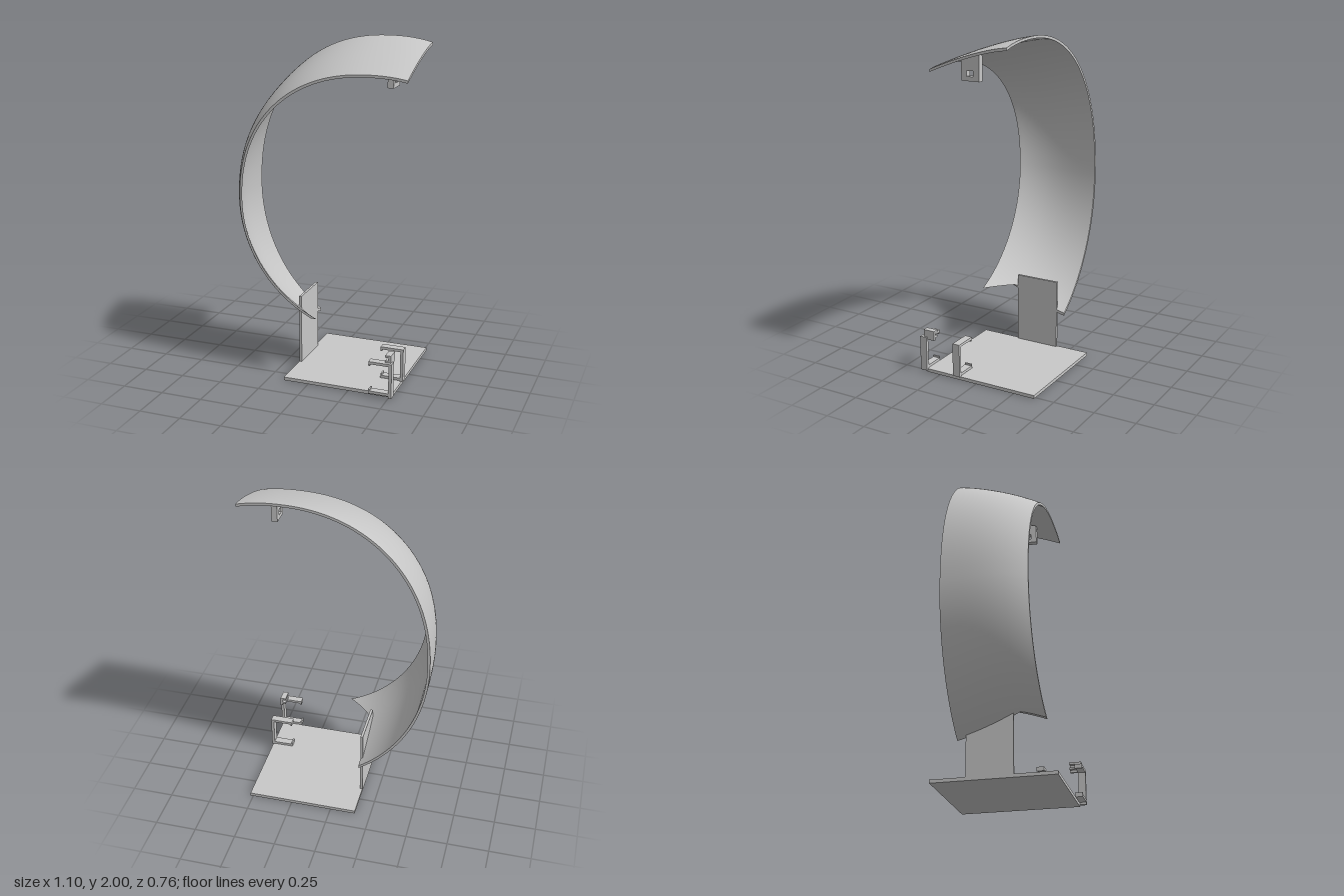
import * as THREE from 'three';
import { mergeGeometries } from 'three/addons/utils/BufferGeometryUtils.js';

const grey = new THREE.MeshStandardMaterial({ color: 0xc8c8c8 });
grey.name = 'plain grey';

// Box given by its limits on each axis
function block(x0, x1, y0, y1, z0, z1) {
  return new THREE.BoxGeometry(x1 - x0, y1 - y0, z1 - z0)
    .translate((x0 + x1) / 2, (y0 + y1) / 2, (z0 + z1) / 2);
}

// Smooth surface over a unit square; its face follows du x dv
function surface(f, nu, nv) {
  const pos = [], index = [], row = nv + 1;
  for (let i = 0; i <= nu; i++)
    for (let j = 0; j <= nv; j++) pos.push(...f(i / nu, j / nv));
  for (let i = 0; i < nu; i++)
    for (let j = 0; j < nv; j++) {
      const a = i * row + j, b = a + row;
      index.push(a, b, a + 1, b, b + 1, a + 1);
    }
  const g = new THREE.BufferGeometry();
  g.setAttribute('position', new THREE.Float32BufferAttribute(pos, 3));
  g.setIndex(index);
  g.computeVertexNormals();
  return g;
}

// Point on the curved band: u along the arc, t from back to front, d from outside to inside.
// The upper half is a slightly squared ellipse, the lower half a plain one.
const SQUARE = 2.2, THICK = 0.015;
function bandPoint(u, t, d) {
  const cx = 0.3 + 0.04 * t, cy = 1.05 + 0.02 * t;
  const a = cx + 0.55 - 0.09 * t ** 3.5 - THICK * d;
  const b = 2 - 0.16 * t ** 1.3 - cy - THICK * d;
  const start = Math.acos(((0.55 - cx) / a) ** (SQUARE / 2));
  // The lower end is trimmed by a corner at x = -0.14, y = 0.38
  const end = Math.max(
    2 * Math.PI - Math.acos((-0.14 - cx) / a),
    Math.PI + Math.asin((cy - 0.38) / b));
  const w = start + (end - start) * u;
  const c = Math.cos(w), s = Math.sin(w);
  const p = s > 0 ? 2 / SQUARE : 1;
  return [
    cx + a * Math.sign(c) * Math.abs(c) ** p,
    cy + b * Math.sign(s) * Math.abs(s) ** p,
    -0.23 + 0.483 * t,
  ];
}

function bandGeometry() {
  const N = 80, M = 24;
  return mergeGeometries([
    surface((u, v) => bandPoint(u, v, 0), N, M),
    surface((u, v) => bandPoint(u, 1 - v, 1), N, M),
    surface((u, v) => bandPoint(u, 1, v), N, 1),
    surface((u, v) => bandPoint(u, 0, 1 - v), N, 1),
    surface((u, v) => bandPoint(0, v, 1 - u), 1, M),
    surface((u, v) => bandPoint(1, v, u), 1, M),
  ]);
}

// Hanging tab with a square hole through x, drawn in (-z, y)
function tabGeometry() {
  const points = list => list.map(p => new THREE.Vector2(...p));
  const s = new THREE.Shape(points([
    [-0.125, 1.752], [-0.011, 1.752], [-0.011, 1.905], [-0.125, 1.87],
  ]));
  s.holes.push(new THREE.Path(points([
    [-0.09, 1.778], [-0.09, 1.81], [-0.05, 1.81], [-0.05, 1.778],
  ])));
  return new THREE.ExtrudeGeometry(s, { depth: 0.035, bevelEnabled: false })
    .rotateY(Math.PI / 2).translate(0.396, 0, 0);
}

// C-shaped clip open toward -x, with small lips on both arms
function clipGeometry(y0, z0, z1) {
  return mergeGeometries([
    block(0.507, 0.525, y0, 0.222, z0, z1),
    block(0.386, 0.507, 0.206, 0.222, z0, z1),
    block(0.386, 0.507, 0.024, 0.04, z0, z1),
    block(0.386, 0.395, 0.196, 0.206, z0, z1),
    block(0.386, 0.395, 0.04, 0.05, z0, z1),
  ]);
}

export function createModel() {
  const model = new THREE.Group();
  model.name = 'curvedBandStand';
  const add = (name, geometry) => {
    const mesh = new THREE.Mesh(geometry, grey);
    mesh.name = name;
    model.add(mesh);
  };

  add('basePlate', block(-0.155, 0.517, 0, 0.02, -0.383, 0.341));
  add('uprightPlate', block(-0.155, -0.14, 0.02, 0.445, -0.177, 0.095));
  add('curvedBand', bandGeometry());
  add('hangingTab', tabGeometry());

  // Pair of clips on the left edge of the base
  add('frontClip', clipGeometry(0.01, 0.336, 0.38));
  add('rearClip', clipGeometry(0.02, 0.108, 0.154));

  // Small hook on top of the front clip
  add('clipHook', mergeGeometries([
    block(0.501, 0.515, 0.207, 0.265, 0.288, 0.36),
    block(0.48, 0.501, 0.252, 0.265, 0.288, 0.36),
    block(0.48, 0.501, 0.222, 0.234, 0.288, 0.36),
  ]));
  return model;
}
